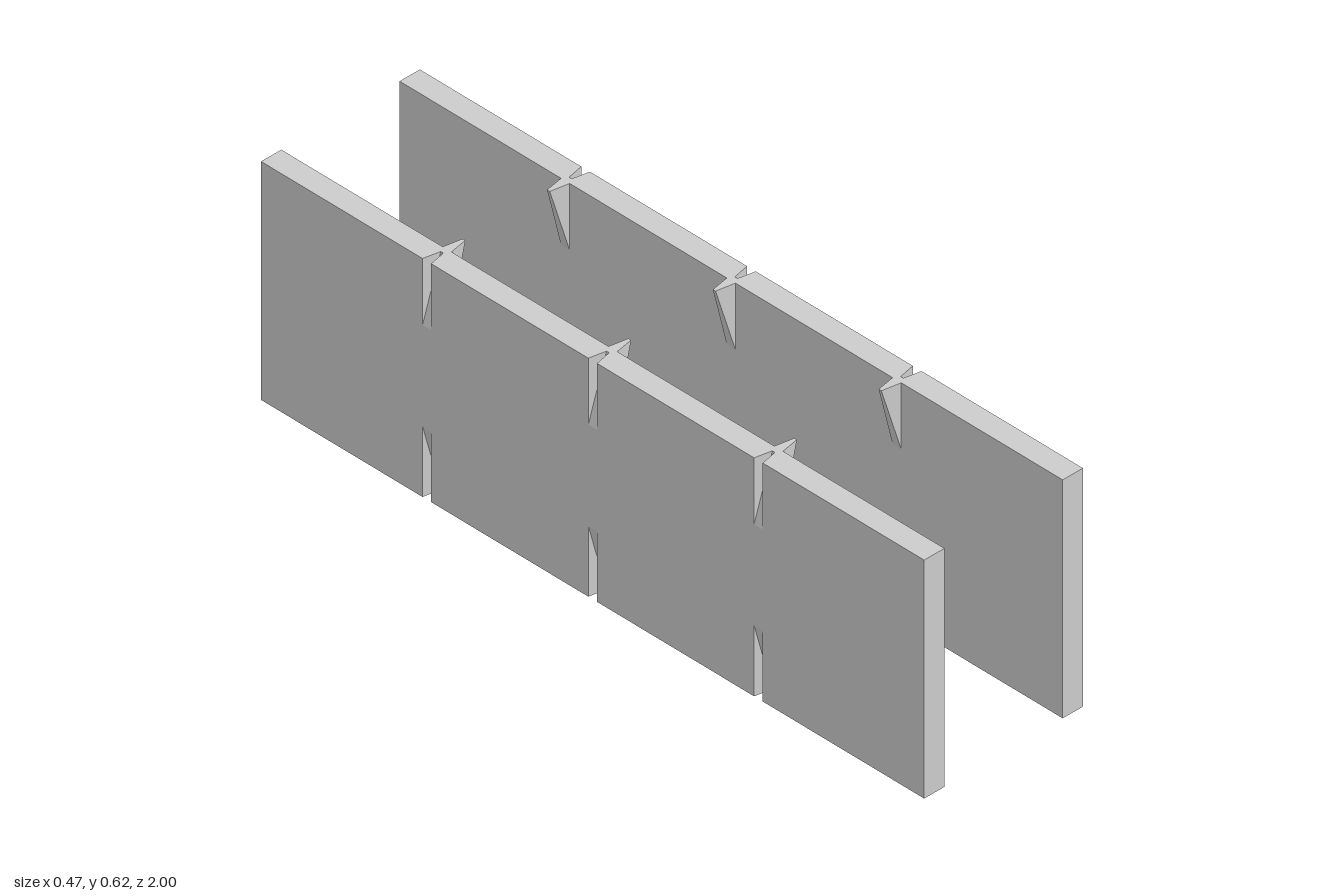
import * as THREE from 'three';

const OUTER = 0.235, INNER = 0.175;      // faces of a board
const DENT = 0.19, RIDGE = 0.125;        // deepest groove and fin tip
const HEIGHT = 0.624, HALF_LENGTH = 1;
const LEVELS = [0, 0.185, 0.45, HEIGHT]; // fins fade out at the middle levels
const BASE = 0.013, TIP = 0.004;         // half widths of a pleat

// Ring of eight points: up the outer face, down the inner face.
// At a pleat core the top and bottom edges are pushed inward.
function section(z, core) {
  const end = (i) => core && (i === 0 || i === 3);
  const up = LEVELS.map((y, i) => [end(i) ? DENT : OUTER, y, z]);
  const down = LEVELS.map((y, i) => [end(i) ? RIDGE : INNER, y, z]).reverse();
  return [...up, ...down];
}

// Board lofted along z, with a groove outside and a fin inside at each pleat
function boardGeometry() {
  const stations = [[-HALF_LENGTH, false]];
  for (const z of [-0.5, 0, 0.5]) {
    stations.push([z - BASE, false], [z - TIP, true], [z + TIP, true], [z + BASE, false]);
  }
  stations.push([HALF_LENGTH, false]);
  const rings = stations.map(([z, core]) => section(z, core));
  const pos = [];
  const tri = (...pts) => pts.forEach((p) => pos.push(...p));
  const isEnd = (i) => i % 4 === 0 || i % 4 === 3;

  for (let s = 0; s < rings.length - 1; s++) {
    for (let i = 0; i < 8; i++) {
      const j = (i + 1) % 8;
      const a = rings[s][i], b = rings[s][j], c = rings[s + 1][j], d = rings[s + 1][i];
      // the fold runs through the pushed corner
      const alongAC = (stations[s][1] && isEnd(i)) || (stations[s + 1][1] && isEnd(j));
      if (alongAC) { tri(a, b, c); tri(a, c, d); }
      else { tri(a, b, d); tri(b, c, d); }
    }
  }
  // end caps
  const back = rings[0], front = rings[rings.length - 1];
  tri(front[0], front[3], front[4]); tri(front[0], front[4], front[7]);
  tri(back[0], back[4], back[3]); tri(back[0], back[7], back[4]);

  // both caps must face outward along z
  const capStart = pos.length - 36;
  for (let k = capStart; k < pos.length; k += 9) {
    const sign = Math.sign(pos[k + 2]);
    const ux = pos[k + 3] - pos[k], uy = pos[k + 4] - pos[k + 1];
    const vx = pos[k + 6] - pos[k], vy = pos[k + 7] - pos[k + 1];
    if ((ux * vy - uy * vx) * sign < 0) {
      for (let m = 0; m < 3; m++) [pos[k + 3 + m], pos[k + 6 + m]] = [pos[k + 6 + m], pos[k + 3 + m]];
    }
  }
  const geo = new THREE.BufferGeometry();
  geo.setAttribute('position', new THREE.Float32BufferAttribute(pos, 3));
  geo.computeVertexNormals();
  return geo;
}

export function createModel() {
  const model = new THREE.Group();
  model.name = 'pleatedBoards';
  const material = new THREE.MeshStandardMaterial({ color: 0xcccccc, flatShading: true });
  const geometry = boardGeometry();
  for (const name of ['leftBoard', 'rightBoard']) {
    const board = new THREE.Mesh(geometry, material);
    board.name = name;
    if (name === 'rightBoard') board.rotation.y = Math.PI;
    model.add(board);
  }
  return model;
}
